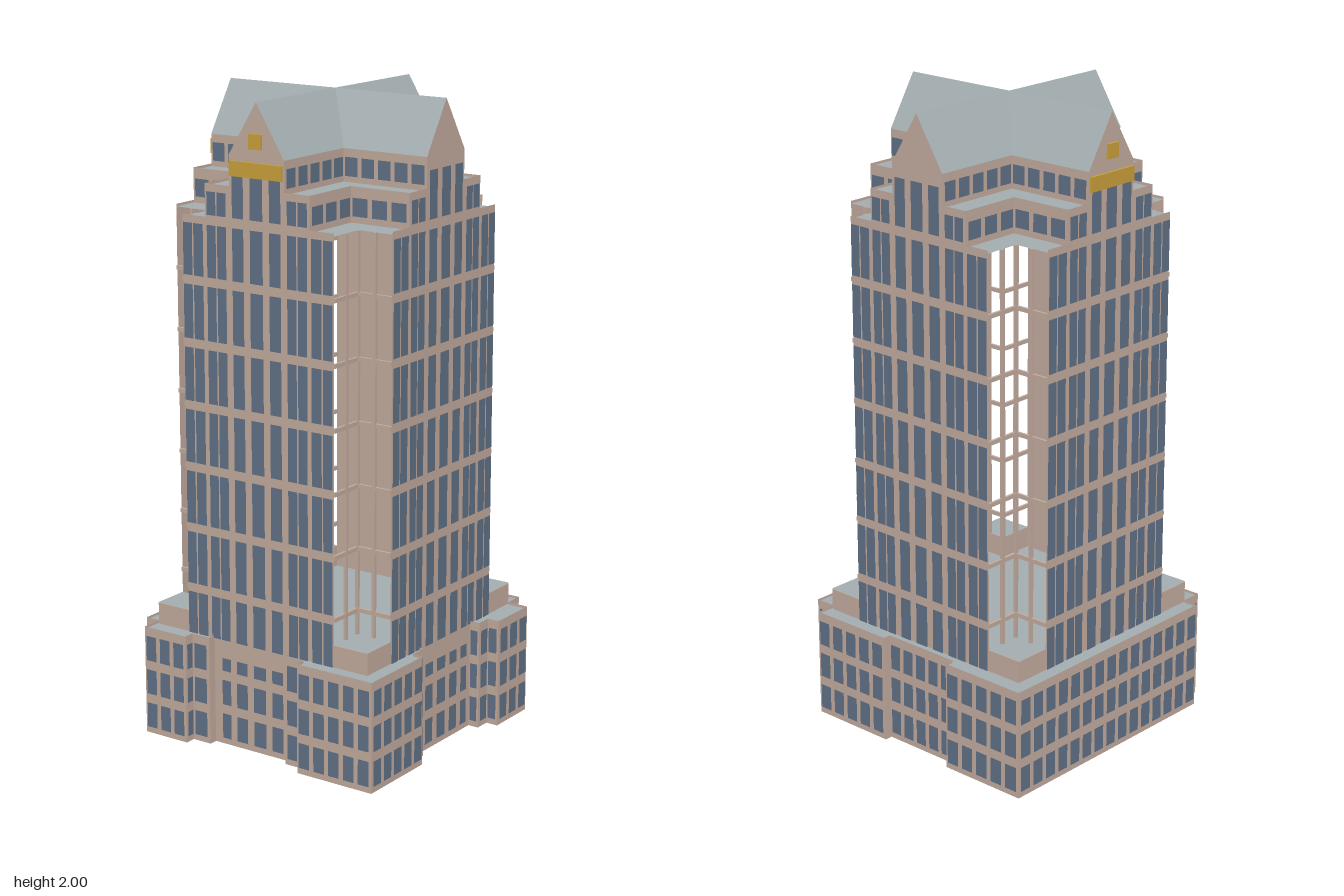
import * as THREE from 'three';
import { mergeGeometries } from 'three/addons/utils/BufferGeometryUtils.js';

const mat = (name, color, side = THREE.FrontSide) => {
  const m = new THREE.MeshStandardMaterial({ color, side });
  m.name = name;
  return m;
};

export function createModel() {
  const stone = mat('stone', 0xc2aa9d, THREE.DoubleSide);
  const glass = mat('blueGlass', 0x5f7186);
  const slate = mat('slate', 0xa3adb0, THREE.DoubleSide);
  const gold = mat('gold', 0xc9a03a);

  const model = new THREE.Group();
  const tower = new THREE.Group();
  tower.name = 'tower';
  tower.position.set(-0.01, 0, -0.003);
  model.add(tower);

  const add = (parent, name, geo, material, x = 0, y = 0, z = 0) => {
    const m = new THREE.Mesh(geo, material);
    m.name = name;
    m.position.set(x, y, z);
    parent.add(m);
    return m;
  };
  const shapeOf = (pts) => new THREE.Shape(pts.map(([x, y]) => new THREE.Vector2(x, y)));
  // flat horizontal surface from [x, z] points
  const deck = (parent, name, pts, y) =>
    add(parent, name, new THREE.ShapeGeometry(shapeOf(pts)).rotateX(Math.PI / 2), slate, 0, y, 0);
  // window panes from [x0, x1, y0, y1], just proud of the wall
  const panes = (parent, name, rects) => {
    if (!rects.length) return;
    add(parent, name, mergeGeometries(rects.map(([x0, x1, y0, y1]) =>
      new THREE.PlaneGeometry(x1 - x0, y1 - y0).translate((x0 + x1) / 2, (y0 + y1) / 2, 0.003))), glass);
  };
  const evenColumns = (len, pitch, fill) => {
    const n = Math.round(len / pitch), step = len / Math.max(n, 1), cols = [];
    for (let i = 0; i < n; i++) {
      const c = -len / 2 + (i + 0.5) * step;
      cols.push([c - step * fill / 2, c + step * fill / 2]);
    }
    return cols;
  };
  // upright wall between two plan points, facing right of the walk from a to b
  const wall = (parent, name, [ax, az], [bx, bz], y0, y1, rows, cols) => {
    const g = new THREE.Group();
    g.name = name;
    const len = Math.hypot(bx - ax, bz - az);
    g.position.set((ax + bx) / 2, 0, (az + bz) / 2);
    g.rotation.y = Math.atan2(az - bz, bx - ax);
    add(g, name + 'Panel', new THREE.PlaneGeometry(len, y1 - y0), stone, 0, (y0 + y1) / 2, 0);
    panes(g, name + 'Windows', cols(len).flatMap(([l, r]) => rows.map(([b, t]) => [l, r, b, t])));
    parent.add(g);
  };

  // Tower facade columns: wide bays are split by a thin mullion
  const half = [[0.047, 0.088], [0.111, 0.144], [0.149, 0.182], [0.197, 0.233], [0.238, 0.272]];
  const columns = [[-0.023, 0.023], ...half, ...half.map(([a, b]) => [-b, -a])];
  const L = 0.395, FLOOR = 0.193, floors = [];
  for (let i = 0; i < 7; i++) floors.push(0.295 + FLOOR * i);

  const facadeRects = [];
  for (const [l, r] of columns) {
    const u = Math.max(Math.abs(l), Math.abs(r));
    floors.forEach((y, i) => facadeRects.push([l, r, Math.max(y + 0.014, 0.34), i === 6 ? 1.625 : y + FLOOR - 0.014]));
    if (u < 0.19) facadeRects.push([l, r, 1.655, u < 0.1 ? 1.80 : 1.725]);
  }
  const facadeShape = shapeOf([[-0.275, 0.34], [0.275, 0.34], [0.275, 1.648], [0.19, 1.648], [0.19, 1.748],
    [0.1, 1.748], [0.1, 1.84], [0, 2], [-0.1, 1.84], [-0.1, 1.748], [-0.19, 1.748], [-0.19, 1.648], [-0.275, 1.648]]);

  // One gabled roof arm: two slopes mitred into the valleys
  const W = 0.1, E = 1.84;
  const slopes = new THREE.BufferGeometry();
  slopes.setAttribute('position', new THREE.Float32BufferAttribute([
    0, 2, 0, 0, 2, L, W, E, L, W, E, W,
    0, 2, 0, -W, E, W, -W, E, L, 0, 2, L], 3));
  slopes.setIndex([0, 1, 2, 0, 2, 3, 4, 5, 6, 4, 6, 7]);
  slopes.computeVertexNormals();

  for (let k = 0; k < 4; k++) {
    const side = new THREE.Group();
    side.name = ['front', 'right', 'back', 'left'][k] + 'Side';
    side.rotation.y = k * Math.PI / 2;
    tower.add(side);

    // Facade sheet with stepped shoulders and gable
    const facade = new THREE.Group();
    facade.name = 'facade';
    facade.position.z = L;
    side.add(facade);
    add(facade, 'facadeWall', new THREE.ShapeGeometry(facadeShape), stone);
    panes(facade, 'facadeWindows', facadeRects);
    if (k === 0 || k === 3) {
      add(facade, 'goldBand', new THREE.BoxGeometry(0.19, 0.045, 0.008), gold, 0, 1.802, 0.004);
      add(facade, 'goldPlaque', new THREE.BoxGeometry(0.045, 0.045, 0.008), gold, 0, 1.886, 0.004);
    }
    add(side, 'roofArm', slopes, slate);

    // Stepped crown walls beside the arm
    for (const [w, y0, y1, rows] of [[0.19, 1.64, 1.748, [[1.66, 1.715]]], [0.1, 1.74, 1.84, [[1.758, 1.815]]]]) {
      const cols = (len) => evenColumns(len, 0.061, 0.76);
      wall(side, 'crownWall', [w, L], [w, w], y0, y1, rows, cols);
      wall(side, 'crownWall', [-w, w], [-w, L], y0, y1, rows, cols);
    }

    // Setback terraces at the corner
    for (const [o, i, y] of [[0.275, 0.19, 1.64], [0.19, 0.1, 1.74]])
      deck(side, 'terrace', [[i, i], [L, i], [L, o], [o, o], [o, L], [i, L]], y);

    // Open corner bay: plinth, posts and floor rails
    add(side, 'cornerPlinth', new THREE.BoxGeometry(0.12, 0.07, 0.12), stone, 0.335, 0.374, 0.335);
    deck(side, 'plinthTop', [[0.275, 0.275], [L, 0.275], [L, L], [0.275, L]], 0.411);
    for (const [x, z] of [[0.335, 0.275], [0.275, 0.335], [0.275, 0.275]])
      add(side, 'cornerPost', new THREE.BoxGeometry(0.01, 1.23, 0.01), stone, x, 1.025, z);
    for (const y of floors.slice(1)) {
      add(side, 'cornerRail', new THREE.BoxGeometry(0.12, 0.013, 0.008), stone, 0.335, y, 0.275);
      add(side, 'cornerRail', new THREE.BoxGeometry(0.008, 0.013, 0.12), stone, 0.275, y, 0.335);
    }
  }

  // Podium: irregular stepped outline, hollow below
  const outline = [[-0.41, 0.385], [-0.41, 0.455], [-0.25, 0.455], [-0.25, 0.42], [-0.185, 0.42], [-0.185, 0.392],
    [0.1, 0.392], [0.1, 0.415], [0.17, 0.415], [0.17, 0.45], [0.44, 0.45], [0.44, 0.18], [0.405, 0.18], [0.405, 0.12],
    [0.385, 0.12], [0.385, -0.17], [0.42, -0.17], [0.42, -0.22], [0.46, -0.22], [0.46, -0.39], [0.39, -0.39],
    [0.39, -0.455], [0.1, -0.455], [0.1, -0.43], [-0.165, -0.43], [-0.165, -0.46], [-0.46, -0.46], [-0.46, 0.385]];
  const podium = new THREE.Group();
  podium.name = 'podium';
  model.add(podium);
  const lowRows = [[0.02, 0.1], [0.13, 0.21]];
  outline.forEach((a, i) => {
    const b = outline[(i + 1) % outline.length];
    // the tower's own facade reaches the ground on the front and right
    const exposed = i === 5 || i === 14;
    const shift = i === 5 ? -0.01 + 0.0425 : 0.022;
    const cols = (len) => exposed
      ? columns.map(([l, r]) => [l + (i === 5 ? shift : -shift), r + (i === 5 ? shift : -shift)])
        .filter(([l, r]) => l > -len / 2 - 0.005 && r < len / 2 + 0.005)
      : evenColumns(len, 0.057, 0.72);
    wall(podium, 'podiumWall', a, b, 0, exposed ? 0.342 : 0.348,
      [...lowRows, exposed ? [0.24, 0.281] : [0.24, 0.32]], cols);
  });
  deck(podium, 'podiumRoof', outline, 0.34);

  return model;
}
